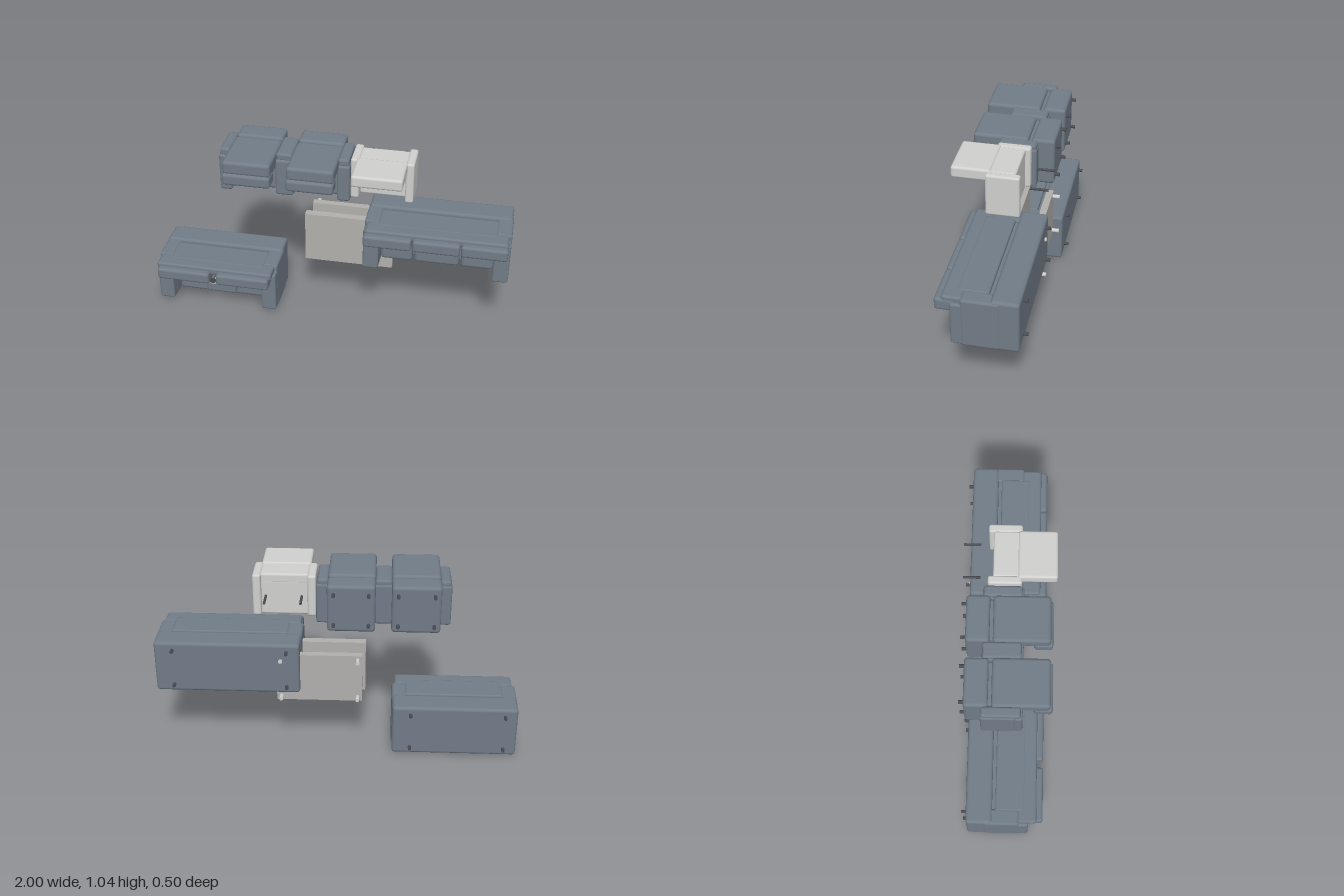
import * as THREE from 'three';
import { RoundedBoxGeometry } from 'three/addons/geometries/RoundedBoxGeometry.js';

const material = (name, color) => Object.assign(new THREE.MeshStandardMaterial({ color }), { name });

export function createModel() {
  const fabric = material('slate fabric', 0x717c87);
  const pale = material('pale upholstery', 0xd0d0ce);
  const table = material('table grey', 0xb2b0ad);
  const dark = material('dark foot', 0x4a4d52);
  const ring = material('cup ring', 0xe6e6e6);
  const model = new THREE.Group();
  model.name = 'loungeSet';

  // The furniture lies on its back: seats face +z, feet point to -z
  const group = (name, y = 0) => {
    const g = new THREE.Group();
    g.name = name;
    g.position.y = y;
    model.add(g);
    return g;
  };
  // Soft block given by its extents [x0, x1], [y0, y1], [z0, z1]
  const block = (parent, name, mat, [x0, x1], [y0, y1], [z0, z1], r = 0.012) => {
    const size = [x1 - x0, y1 - y0, z1 - z0];
    const geo = r ? new RoundedBoxGeometry(...size, 2, r) : new THREE.BoxGeometry(...size);
    const mesh = new THREE.Mesh(geo, mat);
    mesh.name = name;
    mesh.position.set((x0 + x1) / 2, (y0 + y1) / 2, (z0 + z1) / 2);
    parent.add(mesh);
    return mesh;
  };
  // Round peg along z
  const peg = (parent, name, mat, x, y, z0, z1, r) => {
    const mesh = new THREE.Mesh(new THREE.CylinderGeometry(r, r, z1 - z0, 12).rotateX(Math.PI / 2), mat);
    mesh.name = name;
    mesh.position.set(x, y, (z0 + z1) / 2);
    parent.add(mesh);
  };
  const feet = (parent, xs, ys) => {
    for (const x of xs) for (const y of ys) peg(parent, 'foot', dark, x, y, -0.25, -0.21, 0.0095);
  };

  // Sofa with shared base, arms, slotted back, and one cushion set per seat
  function sofa(name, x0, x1, dy, seats, heads) {
    const g = group(name, dy);
    const a0 = x0 + 0.087, a1 = x1 - 0.087;
    block(g, 'base', fabric, [x0 + 0.004, x1 - 0.004], [0.006, 0.304], [-0.225, -0.08], 0.018);
    block(g, 'core', fabric, [x0 + 0.03, x1 - 0.03], [0.03, 0.277], [-0.12, -0.03]);
    for (const [p, q] of [[x0, a0], [a1, x1]]) {
      block(g, 'arm', fabric, [p, q], [0.01, 0.294], [-0.13, 0.068], 0.014);
      block(g, 'armPad', fabric, [p, q], [0.018, 0.262], [0.055, 0.12], 0.012);
    }
    block(g, 'backPanel', fabric, [a0 - 0.01, a1 + 0.01], [0.255, 0.297], [-0.062, 0.1], 0.01);
    block(g, 'backTop', fabric, [x0 + 0.015, x1 - 0.015], [0.25, 0.295], [0.06, 0.165], 0.014);
    for (const [p, q] of seats) {
      block(g, 'seatCushion', fabric, [p, q], [0.015, 0.22], [-0.12, 0.01], 0.02);
      block(g, 'backCushion', fabric, [p + 0.005, q - 0.005], [0.185, 0.27], [-0.02, 0.12], 0.016);
    }
    for (const [p, q] of heads) block(g, 'headrest', fabric, [p, q], [0.207, 0.276], [0.09, 0.2], 0.016);
    feet(g, [x0 + 0.075, x1 - 0.105], [0.05, 0.26]);
    return g;
  }

  const small = sofa('twoSeatSofa', -1, -0.3, 0,
    [[-0.913, -0.652], [-0.648, -0.387]], [[-0.975, -0.67], [-0.63, -0.325]]);
  // Console with two cup holders
  block(small, 'console', fabric, [-0.74, -0.56], [0.04, 0.23], [-0.08, 0.04], 0.014);
  for (const x of [-0.7, -0.6]) {
    peg(small, 'cupRing', ring, x, 0.123, 0.036, 0.042, 0.027);
    peg(small, 'cupWell', dark, x, 0.123, 0.038, 0.044, 0.022);
  }

  sofa('threeSeatSofa', 0.2, 0.997, 0.375,
    [[0.285, 0.462], [0.472, 0.722], [0.732, 0.912]],
    [[0.21, 0.472], [0.478, 0.732], [0.738, 0.985]]);

  // Pair of recliners joined by a central arm
  const pair = group('reclinerPair');
  for (const [p, q] of [[-0.545, -0.285], [-0.2, 0.055]]) {
    block(pair, 'base', fabric, [p, q], [0.767, 1.034], [-0.225, -0.1], 0.018);
    block(pair, 'core', fabric, [p + 0.015, q - 0.015], [0.79, 1.01], [-0.12, -0.03]);
    block(pair, 'seatCushion', fabric, [p, q], [0.772, 0.96], [-0.105, 0.005], 0.018);
    block(pair, 'back', fabric, [p, q], [0.958, 1.035], [-0.083, 0.215], 0.018);
    block(pair, 'lumbarCushion', fabric, [p + 0.015, q - 0.015], [0.915, 0.97], [-0.02, 0.125], 0.014);
    block(pair, 'headCushion', fabric, [p, q], [0.9, 0.966], [0.13, 0.228], 0.016);
    feet(pair, [p + 0.035, q - 0.035], [0.812, 0.986]);
  }
  for (const [p, q] of [[-0.602, -0.535], [-0.292, -0.193], [0.045, 0.117]]) {
    block(pair, 'arm', fabric, [p, q], [0.774, 1.005], [-0.14, 0.04], 0.014);
    block(pair, 'armPad', fabric, [p, q], [0.78, 0.995], [0.03, 0.076], 0.014);
    block(pair, 'armRoll', fabric, [p + 0.006, q - 0.006], [0.985, 1.03], [-0.135, 0.066], 0.014);
  }

  // Pale armchair on two thin rods
  const chair = group('paleArmchair');
  for (const [p, q] of [[0.118, 0.163], [0.412, 0.457]])
    block(chair, 'arm', pale, [p, q], [0.802, 1.038], [-0.117, 0.062], 0.012);
  block(chair, 'seat', pale, [0.157, 0.418], [0.797, 1.0], [-0.09, 0.0], 0.014);
  block(chair, 'back', pale, [0.157, 0.418], [0.98, 1.036], [-0.09, 0.09], 0.012);
  block(chair, 'headrest', pale, [0.15, 0.42], [0.978, 1.044], [0.04, 0.248], 0.014);
  for (const x of [0.19, 0.38]) peg(chair, 'rod', dark, x, 0.94, -0.25, -0.158, 0.007);

  // Coffee table of two plates with small feet
  const low = group('coffeeTable');
  block(low, 'tableTop', table, [-0.15, 0.348], [0.315, 0.615], [-0.06, -0.016], 0);
  block(low, 'lowerShelf', table, [-0.135, 0.333], [0.325, 0.605], [-0.195, -0.157], 0);
  for (const x of [-0.11, 0.308]) for (const y of [0.35, 0.582])
    peg(low, 'tableFoot', pale, x, y, -0.235, -0.19, 0.011);

  return model;
}
